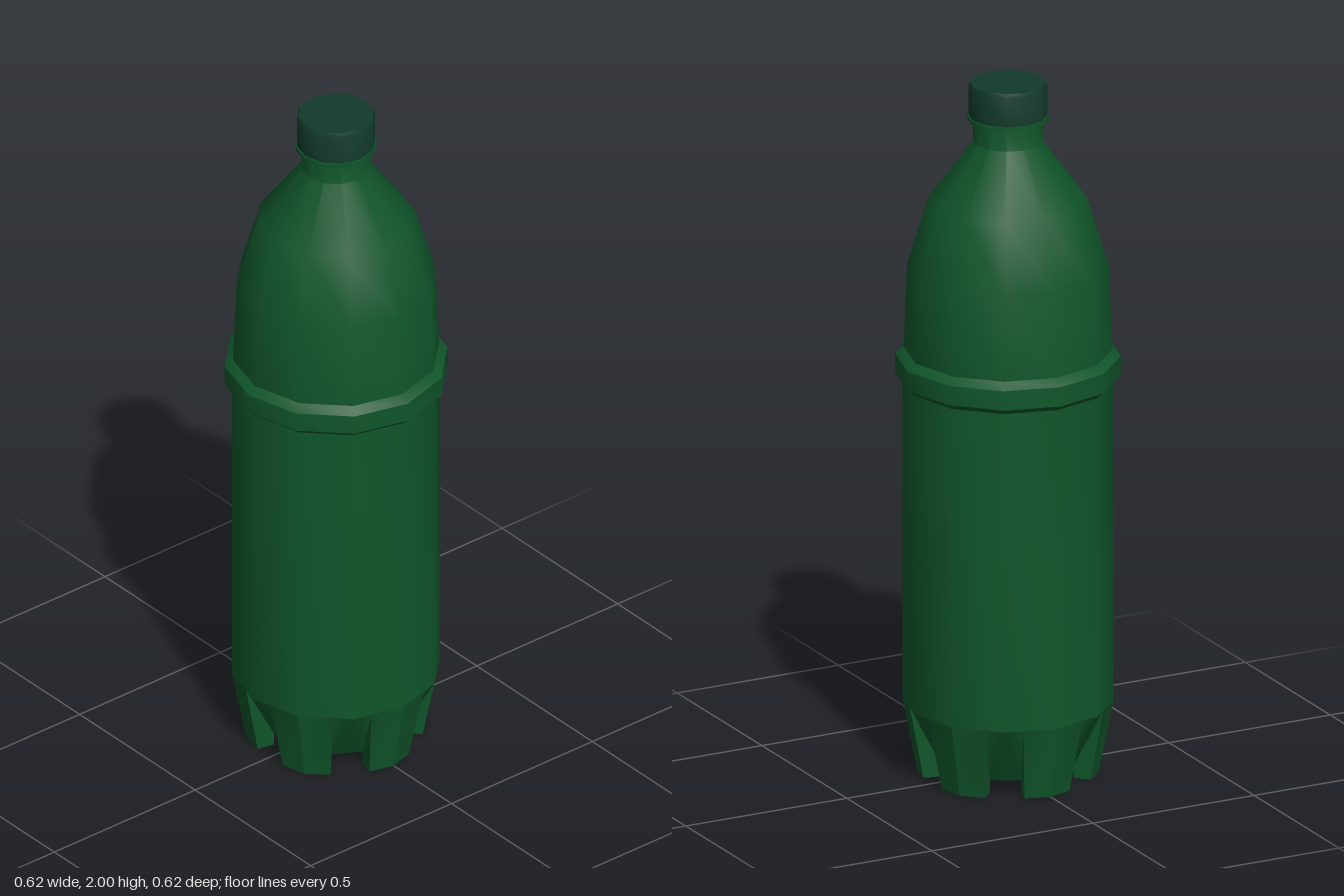
import * as THREE from 'three';
import { toCreasedNormals } from 'three/addons/utils/BufferGeometryUtils.js';

const SIDES = 12;
const green = new THREE.MeshStandardMaterial({ name: 'bottle green', color: 0x10562a });
const darkGreen = new THREE.MeshStandardMaterial({ name: 'cap dark green', color: 0x123a2a });

// Twelve-sided turned part from [radius, height] pairs, bottom to top
function turned(name, profile, material) {
  const points = profile.map(([r, y]) => new THREE.Vector2(r, y));
  const geometry = toCreasedNormals(new THREE.LatheGeometry(points, SIDES), 0.7);
  const mesh = new THREE.Mesh(geometry, material);
  mesh.name = name;
  return mesh;
}

// Six feet separated by tapering notches, around a raised floor
function baseGeometry() {
  const bodyR = 0.29, topY = 0.21, floorY = 0.035, innerR = 0.19;
  const pos = [];
  const tri = (...corners) => corners.forEach((p) => pos.push(p.x, p.y, p.z));
  const quad = (a, b, c, d) => { tri(a, b, c); tri(a, c, d); };

  for (let i = 0; i < 6; i++) {
    const at = (deg, r, y) => {
      const t = THREE.MathUtils.degToRad(i * 60 + deg);
      return new THREE.Vector3(r * Math.sin(t), y, r * Math.cos(t));
    };
    const centre = new THREE.Vector3(0, floorY, 0);
    // Columns of points: left edge, middle and right edge of the foot
    const top = [at(-19, 0.281, topY), at(0, bodyR, topY), at(19, 0.281, topY)];
    const toe = [at(-17, 0.24, 0), at(0, 0.25, 0), at(17, 0.24, 0)];
    const heel = [-17, 0, 17].map((d) => at(d, innerR, 0));
    const floor = [-17, 0, 17].map((d) => at(d, innerR, floorY));

    for (let k = 0; k < 2; k++) {
      quad(toe[k], toe[k + 1], top[k + 1], top[k]);         // outer face
      quad(heel[k], heel[k + 1], toe[k + 1], toe[k]);       // sole
      quad(heel[k + 1], heel[k], floor[k], floor[k + 1]);   // inner face
      tri(centre, floor[k + 1], floor[k]);                  // raised floor
    }
    // Side walls of the foot
    quad(toe[2], heel[2], floor[2], top[2]);
    quad(heel[0], toe[0], top[0], floor[0]);

    // Sloping back of the notch to the right, and its floor
    const nextFloor = at(43, innerR, floorY);
    const notchTop = at(30, bodyR, topY);
    tri(floor[2], nextFloor, notchTop);
    tri(floor[2], notchTop, top[2]);
    tri(nextFloor, at(41, 0.281, topY), notchTop);
    tri(centre, nextFloor, floor[2]);
  }
  const geometry = new THREE.BufferGeometry();
  geometry.setAttribute('position', new THREE.Float32BufferAttribute(pos, 3));
  geometry.computeVertexNormals();
  return toCreasedNormals(geometry, 0.5);
}

export function createModel() {
  const bottle = new THREE.Group();
  bottle.name = 'bottle';

  const base = new THREE.Mesh(baseGeometry(), green);
  base.name = 'footedBase';
  bottle.add(base);

  // Straight wall, raised band, shoulder and neck
  bottle.add(turned('body', [
    [0.29, 0.21], [0.29, 1.135],
    [0.31, 1.152], [0.31, 1.208], [0.287, 1.228],
    [0.277, 1.47], [0.218, 1.665], [0.096, 1.83], [0.096, 1.9],
  ], green));

  // Thin ring below the cap
  bottle.add(turned('neckCollar', [
    [0.09, 1.892], [0.112, 1.892], [0.112, 1.904], [0.09, 1.904],
  ], green));

  bottle.add(turned('cap', [
    [0.09, 1.905], [0.109, 1.905], [0.109, 1.99], [0.105, 2], [0, 2],
  ], darkGreen));

  return bottle;
}
